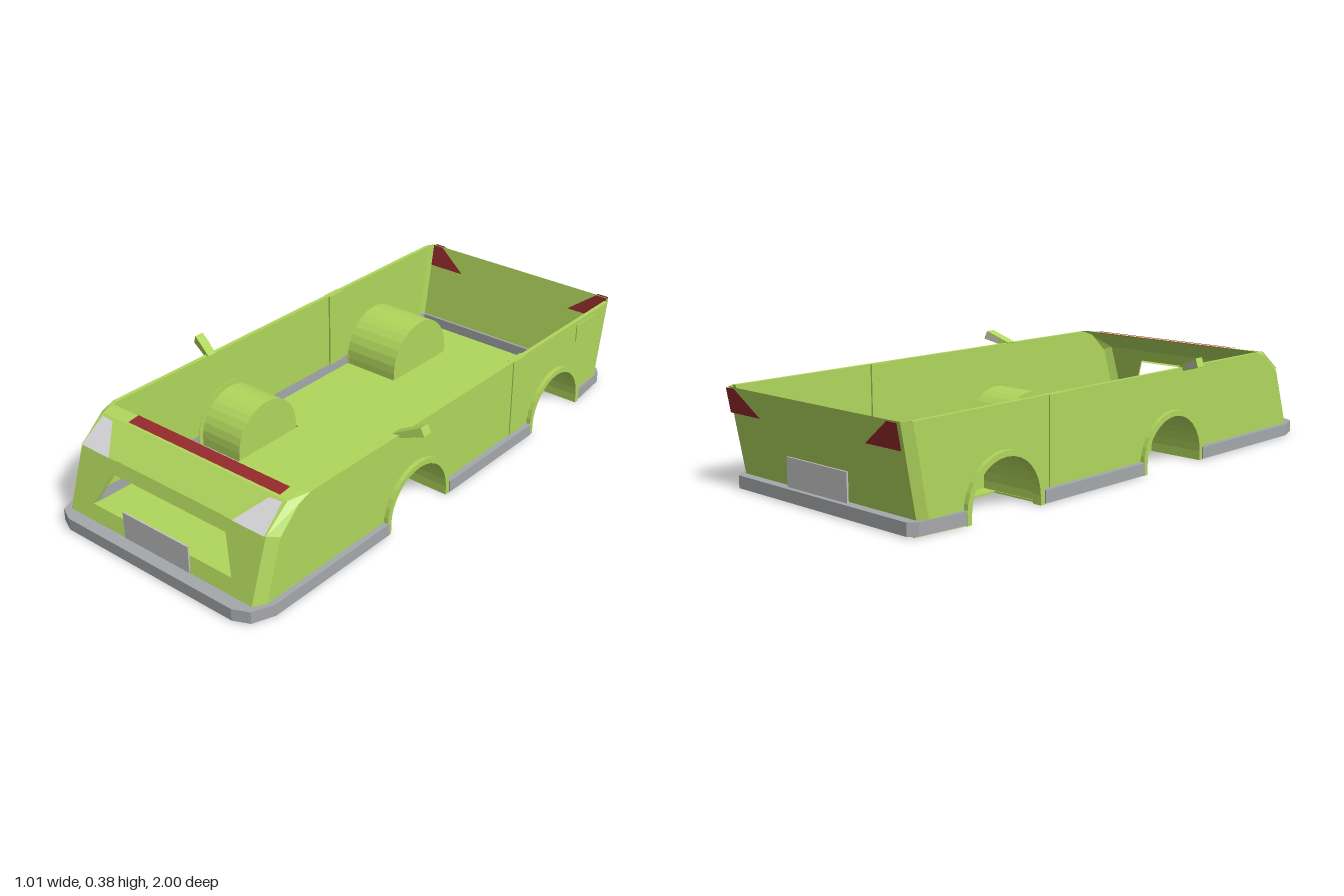
import * as THREE from 'three';

const mat = (name, color) =>
  new THREE.MeshStandardMaterial({ name, color, side: THREE.DoubleSide });

export function createModel() {
  const car = new THREE.Group();
  car.name = 'carBody';
  const green = mat('bodyGreen', 0xb0d65c);
  const grey = mat('sillGrey', 0xa5a8ab);
  const plateGrey = mat('plateGrey', 0xc2c2c4);
  const white = mat('lampWhite', 0xd8d8da);
  const red = mat('lampRed', 0x952a2c);

  const add = (name, geo, m) => {
    const mesh = new THREE.Mesh(geo, m);
    mesh.name = name;
    car.add(mesh);
    return mesh;
  };
  const shapeOf = pts => new THREE.Shape(pts.map(p => new THREE.Vector2(p[0], p[1])));
  const box = (name, m, w, h, d, x, y, z) =>
    add(name, new THREE.BoxGeometry(w, h, d).translate(x, y, z), m);
  // Faceted band between two rows of points
  const strip = (name, m, a, b) => {
    const v = [];
    for (let i = 0; i < a.length - 1; i++)
      v.push(...a[i], ...b[i], ...b[i + 1], ...a[i], ...b[i + 1], ...a[i + 1]);
    const g = new THREE.BufferGeometry();
    g.setAttribute('position', new THREE.Float32BufferAttribute(v, 3));
    g.computeVertexNormals();
    return add(name, g, m);
  };
  // Flat sheet drawn in x and y, leaned along z by a rule
  const sheet = (name, m, shape, zAt) => {
    const g = new THREE.ShapeGeometry(shape).toNonIndexed();
    const p = g.attributes.position;
    for (let i = 0; i < p.count; i++) p.setZ(i, zAt(p.getY(i)));
    g.computeVertexNormals();
    return add(name, g, m);
  };
  // Slab drawn as a plan (x, z), rising from y0
  const slab = (name, m, pts, y0, h) =>
    add(name, new THREE.ExtrudeGeometry(shapeOf(pts.map(p => [p[0], -p[1]])),
      { depth: h, bevelEnabled: false }).rotateX(-Math.PI / 2).translate(0, y0, 0), m);
  // Slab drawn as a side profile (z, y), filling x0 to x0 + w
  const sideSlab = (name, m, shape, x0, w) =>
    add(name, new THREE.ExtrudeGeometry(shape, { depth: w, bevelEnabled: false })
      .rotateY(-Math.PI / 2).translate(x0 + w, 0, 0), m);
  // Wheel arch outline (z, y) from front to rear
  const arch = (zc, r, base = 0) => {
    const pts = [[zc + r, base]];
    for (let i = 0; i <= 16; i++) {
      const a = Math.PI * i / 16, y = 0.032 + r * Math.sin(a);
      if (y > base + 0.002) pts.push([zc + r * Math.cos(a), y]);
    }
    pts.push([zc - r, base]);
    return pts;
  };

  const wheels = [0.21, -0.605];
  const nose = [[0.955, 0.045], [0.885, 0.255], [0.79, 0.328], [0.74, 0.335]];
  const cheek = [[0.915, 0.045], [0.85, 0.245], [0.77, 0.318], [0.72, 0.335]];
  const tail = [[-0.935, 0.045], [-0.988, 0.335]];
  const quarter = [[-0.905, 0.045], [-0.958, 0.335]];
  const along = ([a, b]) => y => a[0] + (b[0] - a[0]) * (y - a[1]) / (b[1] - a[1]);
  const grilleZ = along([nose[0], nose[1]]);
  const hoodZ = along([nose[1], nose[2]]);
  const tailZ = along(tail);

  // Floor with wheel notches
  const half = [[0.36, 0.99], [0.41, 0.965], [0.437, 0.9]];
  for (const z of wheels)
    half.push([0.437, z + 0.16], [0.23, z + 0.16], [0.23, z - 0.16], [0.437, z - 0.16]);
  half.push([0.415, -0.95]);
  const mirrored = pts => [...pts, ...pts.map(p => [-p[0], p[1]]).reverse()];
  slab('floor', green, mirrored(half), 0, 0.006);

  // Grey sill around the foot of the body
  slab('frontSill', grey, [...mirrored([[0.36, 1], [0.415, 0.975], [0.445, 0.9], [0.445, 0.37]].reverse()),
    ...mirrored([[-0.41, 0.37], [-0.41, 0.9], [-0.36, 0.95]])], 0.003, 0.042);
  slab('rearSill', grey, [...mirrored([[0.44, -0.765], [0.422, -0.94], [0.40, -0.967]]),
    ...mirrored([[-0.41, -0.765], [-0.40, -0.925]])], 0.003, 0.042);

  for (const s of [1, -1]) {
    const side = s > 0 ? 'left' : 'right';
    const x0 = s > 0 ? 0.41 : -0.425;
    box(side + 'MiddleSill', grey, 0.035, 0.042, 0.486, s * 0.4275, 0.024, -0.197);

    // Side panel with wheel openings
    const outline = [...cheek].reverse();
    for (const z of wheels) outline.push(...arch(z, 0.155, 0.045));
    outline.push(...quarter);
    sideSlab(side + 'SidePanel', green, shapeOf(outline), x0, 0.015);
    box(side + 'DoorPillar', green, 0.026, 0.288, 0.075, s * 0.416, 0.19, -0.367);

    // Chamfered corners
    const at = (pts, x) => pts.map(([z, y]) => [s * x, y, z]);
    strip(side + 'FrontCorner', green, at(nose, 0.40), at(cheek, 0.425));
    strip(side + 'RearCorner', green, at(tail, 0.405), at(quarter, 0.425));

    // Arch lips and inner wheel tubs
    wheels.forEach((z, i) => {
      const lip = shapeOf([...arch(z, 0.165), ...arch(z, 0.146).reverse()]);
      sideSlab(side + 'ArchLip' + i, green, lip, s > 0 ? 0.408 : -0.441, 0.033);
      const big = i === 1 && s < 0;
      const tub = arch(z, big ? 0.163 : 0.146), xin = big ? 0.18 : 0.23;
      strip(side + 'WheelTub' + i, green, at(tub, 0.425), at(tub, xin));
      add(side + 'TubWall' + i, new THREE.ShapeGeometry(shapeOf(tub))
        .rotateY(-Math.PI / 2).translate(s * xin, 0, 0), green);
    });

    // Headlight and its surround
    sheet(side + 'LampSurround', green, shapeOf([[s * 0.40, 0.255], [s * 0.232, 0.255],
      [s * 0.345, 0.328], [s * 0.40, 0.328]]), y => hoodZ(y) + 0.003);
    sheet(side + 'Headlight', white, shapeOf([[s * 0.398, 0.256], [s * 0.268, 0.256],
      [s * 0.34, 0.323], [s * 0.388, 0.325]]), y => hoodZ(y) + 0.006);

    // Tail light, seen from outside and inside
    for (const off of [-0.011, 0.004])
      sheet(side + 'TailLight', red, shapeOf([[s * 0.403, 0.334], [s * 0.403, 0.252],
        [s * 0.25, 0.252], [s * 0.36, 0.334]]), y => tailZ(y) + off);

    // Door mirror with glass on its rear face
    const blade = shapeOf([[0.405, 0.337], [0.43, 0.325], [0.505, 0.347], [0.493, 0.377]]
      .map(p => [s * p[0], p[1]]));
    const glass = shapeOf([[0.44, 0.333], [0.498, 0.349], [0.489, 0.37], [0.445, 0.352]]
      .map(p => [s * p[0], p[1]]));
    const lean = g => {
      const p = g.attributes.position;
      for (let i = 0; i < p.count; i++)
        p.setZ(i, p.getZ(i) + 0.275 - (Math.abs(p.getX(i)) - 0.405) * 0.3);
      g.computeVertexNormals();
      return g;
    };
    add(side + 'Mirror', lean(new THREE.ExtrudeGeometry(blade, { depth: 0.035, bevelEnabled: false })), green);
    add(side + 'MirrorGlass', lean(new THREE.ShapeGeometry(glass).translate(0, 0, -0.003)), plateGrey);
  }

  // Nose panel with open grille and its recessed rim
  const hole = [[-0.25, 0.212], [0.25, 0.212], [0.305, 0.095], [-0.305, 0.095]];
  const front = shapeOf([[-0.40, 0.045], [0.40, 0.045], [0.40, 0.255], [-0.40, 0.255]]);
  front.holes.push(new THREE.Path(hole.map(p => new THREE.Vector2(...p))));
  sheet('nosePanel', green, front, grilleZ);
  const loop = [...hole, hole[0]];
  strip('grilleRim', green, loop.map(([x, y]) => [x, y, grilleZ(y)]),
    loop.map(([x, y]) => [x * 0.98, 0.154 + (y - 0.154) * 0.93, grilleZ(y) - 0.015]));

  // Hood slope and top edge with red strip
  const row = ([z, y], a, b = -a, up = 0) => [[a, y + up, z], [b, y + up, z]];
  strip('hood', green, row(nose[1], -0.40), row(nose[2], -0.40));
  strip('hoodTop', green, row(nose[2], -0.40), row(nose[3], -0.40));
  for (const up of [0.003, -0.003])
    strip('redStrip', red, row([0.784, 0.329], -0.285, 0.365, up), row(nose[3], -0.285, 0.365, up));

  // Tail panel, fuel flap and number plates
  sheet('tailPanel', green, shapeOf([[-0.405, 0.045], [0.405, 0.045], [0.405, 0.335], [-0.405, 0.335]]), tailZ);
  box('fuelFlap', green, 0.005, 0.065, 0.125, 0.426, 0.287, -0.803);
  box('frontPlate', plateGrey, 0.286, 0.095, 0.006, 0, 0.092, 0.953);
  box('rearPlate', plateGrey, 0.286, 0.095, 0.006, 0, 0.1, -0.965);
  return car;
}
